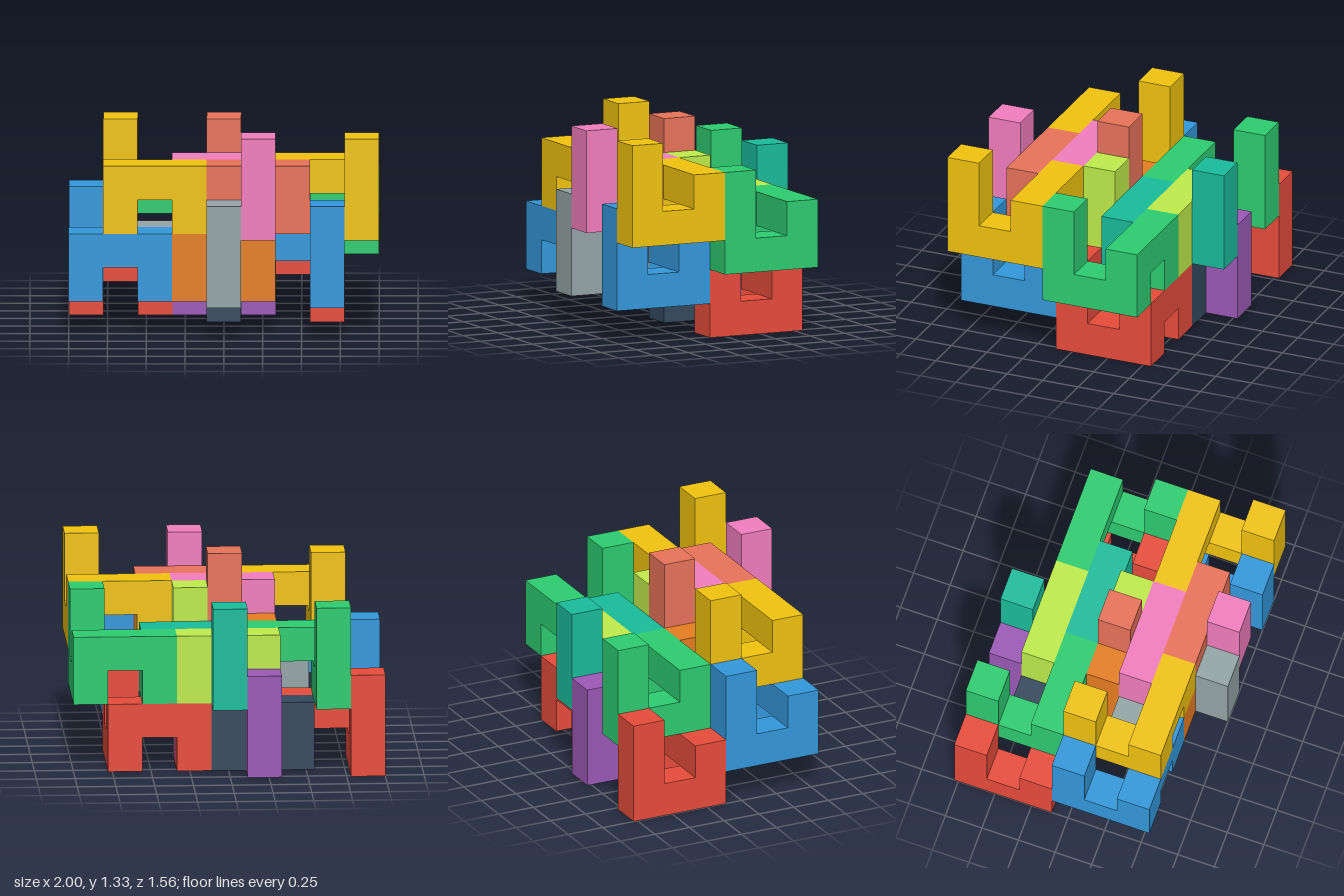
import * as THREE from 'three';

const CELL = 2 / 9;

function extrude(points) {
  const shape = new THREE.Shape(points.map(([x, y]) => new THREE.Vector2(x, y)));
  return new THREE.ExtrudeGeometry(shape, { depth: 1, bevelEnabled: false });
}

// Every piece is an arch along x whose end turns into a tall hook along z (units: cells)
const archGeometry = extrude([[0, 0], [1, 0], [1, 1], [2, 1], [2, 0], [3, 0], [3, 2], [0, 2]]);
const hookGeometry = extrude([[1, 0], [3, 0], [3, 3], [2, 3], [2, 1], [1, 1]])
  .rotateY(-Math.PI / 2).translate(3, 0, 0);

function createPiece(name, color) {
  const material = new THREE.MeshStandardMaterial({ color });
  const piece = new THREE.Group();
  piece.name = name;
  const arch = new THREE.Mesh(archGeometry, material);
  arch.name = 'arch';
  const hook = new THREE.Mesh(hookGeometry, material);
  hook.name = 'hook';
  piece.add(arch, hook);
  return piece;
}

// Each row interlocks two pieces hooking forward with two hooking backward.
// Colors: forward inner, forward outer, backward outer, backward inner
const ROWS = [
  { name: 'frontUpper', x: 1, y: 3, z: 3, colors: [0xf27ebe, 0xf1c40f, 0xf1c40f, 0xe8735a] },
  { name: 'frontLower', x: 0, y: 1, z: 3, colors: [0x95a5a6, 0x3498db, 0x3498db, 0xe67e22] },
  { name: 'backUpper', x: 1, y: 2, z: 0, colors: [0xbfec4c, 0x2ecc71, 0x2ecc71, 0x1abc9c] },
  { name: 'backLower', x: 0, y: 0, z: 0, colors: [0x34495e, 0xe74c3c, 0xe74c3c, 0x9b59b6] },
];

function createRow({ name, x, y, z, colors }) {
  const row = new THREE.Group();
  row.name = name + 'Row';
  for (let i = 0; i < 2; i++) {
    const forward = createPiece('forwardPiece' + (i + 1), colors[i]);
    forward.position.set(2 + 3 * i, 0, 1);

    // Same piece turned half round
    const backward = createPiece('backwardPiece' + (i + 1), colors[2 + i]);
    backward.rotation.y = Math.PI;
    backward.position.set(3 + 3 * i, 0, 3);
    row.add(forward, backward);
  }
  row.position.set(x - 4.5, y, z - 3.5);
  return row;
}

export function createModel() {
  const model = new THREE.Group();
  model.name = 'interlockingBlocks';
  ROWS.forEach((row) => model.add(createRow(row)));
  model.scale.setScalar(CELL);
  return model;
}
